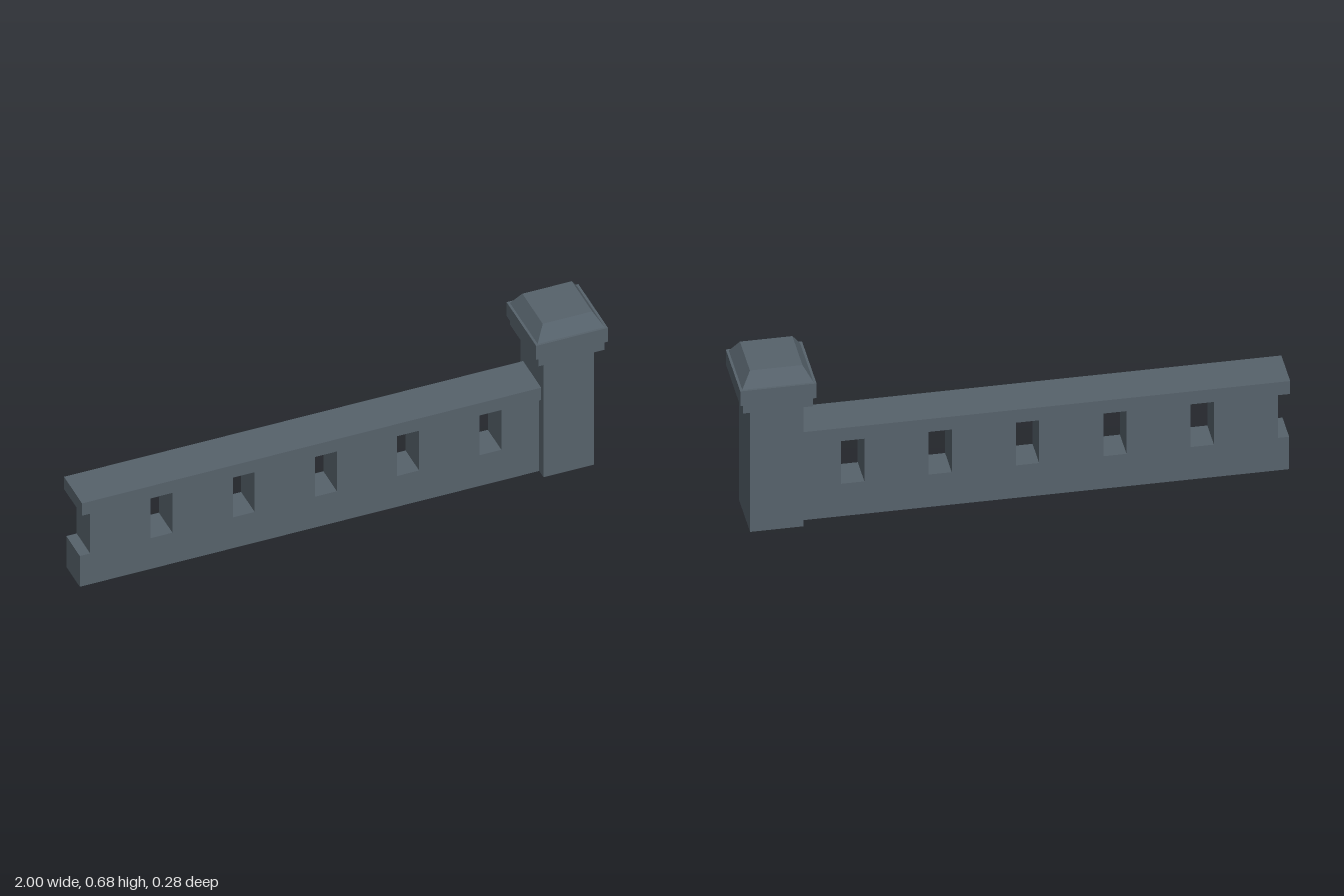
import * as THREE from 'three';

const slate = new THREE.MeshStandardMaterial({ color: 0x56626b });
slate.name = 'slate stone';

function add(group, name, geometry, x = 0, y = 0, z = 0) {
  const mesh = new THREE.Mesh(geometry, slate);
  mesh.name = name;
  mesh.position.set(x, y, z);
  group.add(mesh);
}

// Box given by its x range, y range and half depth
function block(group, name, x0, x1, y0, y1, halfZ) {
  add(group, name, new THREE.BoxGeometry(x1 - x0, y1 - y0, halfZ * 2), (x0 + x1) / 2, (y0 + y1) / 2);
}

// Crenellated wall: one profile with evenly spaced merlons
function wallGeometry(depth) {
  const end = 0.894, low = 0.138, high = 0.327, pitch = 0.3162, width = 0.232;
  const s = new THREE.Shape();
  s.moveTo(end, 0);
  s.lineTo(end, low);
  for (let i = 5; i >= 0; i--) {
    const x = -0.96 + i * pitch;
    s.lineTo(x + width, low);
    s.lineTo(x + width, high);
    s.lineTo(x, high);
    s.lineTo(x, low);
  }
  s.lineTo(-1, low);
  s.lineTo(-1, 0);
  s.closePath();
  return new THREE.ExtrudeGeometry(s, { depth, bevelEnabled: false }).translate(0, 0, -depth / 2);
}

// Box whose top corners are pulled in to form a truncated pyramid
function taperedGeometry(base, top, height) {
  const g = new THREE.BoxGeometry(base * 2, height, base * 2);
  const p = g.attributes.position;
  for (let i = 0; i < p.count; i++) {
    if (p.getY(i) > 0) p.setXYZ(i, Math.sign(p.getX(i)) * top, p.getY(i), Math.sign(p.getZ(i)) * top);
  }
  const flat = g.toNonIndexed();
  flat.computeVertexNormals();
  return flat;
}

export function createModel() {
  const model = new THREE.Group();
  model.name = 'balustrade';

  // Wall and hand rail
  add(model, 'wall', wallGeometry(0.126));
  block(model, 'rail', -1, 0.86, 0.334, 0.389, 0.084);

  // End post with stepped cap
  const post = new THREE.Group();
  post.name = 'post';
  const cx = 0.862;
  block(post, 'shaft', cx - 0.0965, cx + 0.0965, 0.003, 0.528, 0.1065);
  block(post, 'lowerCollar', cx - 0.127, cx + 0.127, 0.527, 0.565, 0.131);
  block(post, 'upperCollar', cx - 0.138, cx + 0.138, 0.565, 0.627, 0.138);
  add(post, 'capTop', taperedGeometry(0.129, 0.095, 0.056), cx, 0.655);
  model.add(post);

  return model;
}
